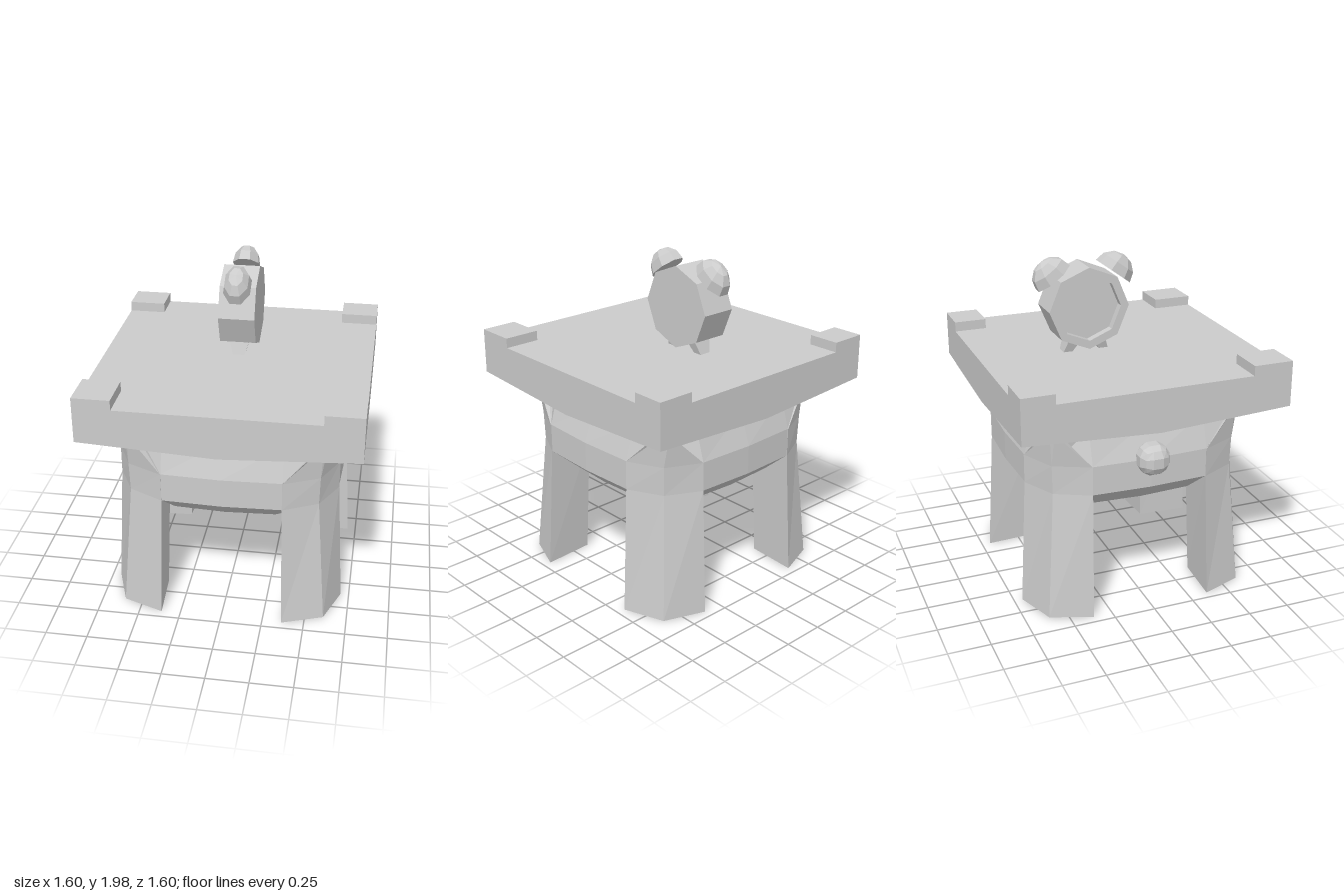
import * as THREE from 'three';

const material = new THREE.MeshStandardMaterial({ color: 0xcccccc, flatShading: true });

function add(parent, name, geometry) {
  const flat = geometry.index ? geometry.toNonIndexed() : geometry;
  flat.computeVertexNormals();
  const mesh = new THREE.Mesh(flat, material);
  mesh.name = name;
  parent.add(mesh);
  return mesh;
}

// Skin closed rings listed bottom to top, each counter-clockwise seen from below (x towards z)
function loft(rings) {
  const n = rings[0].length, points = rings.flat(), index = [];
  for (let r = 0; r < rings.length - 1; r++) {
    for (let i = 0; i < n; i++) {
      const a = r * n + i, b = r * n + (i + 1) % n;
      index.push(a, a + n, b, b, a + n, b + n);
    }
  }
  const last = (rings.length - 1) * n;
  for (let i = 1; i < n - 1; i++) {
    index.push(0, i, i + 1, last, last + i + 1, last + i);
  }
  const g = new THREE.BufferGeometry();
  g.setAttribute('position', new THREE.Float32BufferAttribute(points.flat(), 3));
  g.setIndex(index);
  return g;
}

// Bulging square ring: mid = side middle, side = near the legs, corner = diagonal
function squareRing(y, mid, side, corner, w, sag = 0) {
  const ring = [];
  for (let q = 0; q < 4; q++) {
    const c = Math.round(Math.cos(q * Math.PI / 2)), s = Math.round(Math.sin(q * Math.PI / 2));
    for (const [x, z, dy] of [[mid, 0, -sag], [side, w, 0], [corner, corner, 0], [w, side, 0]]) {
      ring.push([x * c - z * s, y + dy, x * s + z * c]);
    }
  }
  return ring;
}

// Kite-shaped leg section pointing along the +x+z diagonal
const legRing = (y, out, near, ridge, inner) =>
  [[inner, y, inner], [out, y, near], [ridge, y, ridge], [near, y, out]];

function octagon(radius, Type = THREE.Shape) {
  const shape = new Type();
  for (let i = 0; i < 8; i++) {
    const a = i * Math.PI / 4;
    shape[i ? 'lineTo' : 'moveTo'](radius * Math.cos(a), radius * Math.sin(a));
  }
  shape.closePath();
  return shape;
}

function createClock() {
  const clock = new THREE.Group();
  clock.name = 'alarmClock';
  clock.position.set(0, 1.685, -0.16);

  // Case with a recessed dial on the -x side
  const slab = (shape, depth, x) => new THREE.ExtrudeGeometry(shape, { depth, bevelEnabled: false })
    .rotateY(-Math.PI / 2).translate(x, 0, 0);
  add(clock, 'clockCase', slab(octagon(0.245), 0.167, 0.107));
  const rim = octagon(0.245);
  rim.holes.push(octagon(0.195, THREE.Path));
  add(clock, 'clockRim', slab(rim, 0.047, -0.06));

  for (const side of [1, -1]) {
    // Bell: narrow faceted dome with a flat underside
    const bell = new THREE.Group();
    bell.name = 'bell';
    bell.position.set(0, 0.18, side * 0.186);
    bell.rotation.x = side * 0.635;
    clock.add(bell);
    const dome = new THREE.SphereGeometry(0.125, 8, 3, Math.PI / 8, Math.PI * 2, 0, Math.PI / 2);
    add(bell, 'bellDome', dome.scale(0.68, 0.95, 1.02));
    const base = new THREE.CircleGeometry(0.125, 8, Math.PI / 8);
    add(bell, 'bellBase', base.rotateX(Math.PI / 2).scale(0.68, 1, 1.02));

    // Foot: tapered and splayed
    const foot = (y, w, z0, z1) => {
      const [a, b] = side > 0 ? [z0, z1] : [-z1, -z0];
      return [[-w, y, a], [w, y, a], [w, y, b], [-w, y, b]];
    };
    add(clock, 'clockFoot', loft([foot(-0.275, 0.035, 0.085, 0.14), foot(-0.19, 0.06, 0.03, 0.11)]));
  }
  return clock;
}

export function createModel() {
  const model = new THREE.Group();
  model.name = 'bedsideTable';

  // Table top: flat above, underside sagging towards the middle
  const top = new THREE.BoxGeometry(1.6, 0.2, 1.6, 2, 1, 2);
  const p = top.attributes.position;
  for (let i = 0; i < p.count; i++) {
    const sag = 1.115 + 0.0425 * (Math.abs(p.getX(i)) + Math.abs(p.getZ(i))) / 0.8;
    p.setY(i, p.getY(i) > 0 ? 1.413 : sag);
  }
  add(model, 'tableTop', top);

  // Raised corner blocks, deeper at the front
  for (const sx of [1, -1]) {
    for (const [sz, d] of [[1, 0.24], [-1, 0.195]]) {
      const block = add(model, 'cornerBlock', new THREE.BoxGeometry(0.22, 0.075, d));
      block.position.set(sx * 0.69, 1.4345, sz * (0.8 - d / 2));
    }
  }

  // Rounded body
  add(model, 'body', loft([
    squareRing(0.58, 0.02, 0.02, 0.02, 0.01),
    squareRing(0.6, 0.36, 0.35, 0.3, 0.18),
    squareRing(0.65, 0.53, 0.52, 0.44, 0.3, 0.005),
    squareRing(0.77, 0.67, 0.655, 0.54, 0.35),
    squareRing(0.945, 0.67, 0.655, 0.54, 0.35),
    squareRing(1.15, 0.6, 0.595, 0.565, 0.35),
  ]));

  // Four legs with pointed tops
  for (let i = 0; i < 4; i++) {
    const leg = add(model, 'leg', loft([
      legRing(0, 0.7, 0.365, 0.61, 0.385),
      legRing(0.77, 0.658, 0.35, 0.555, 0.36),
      legRing(0.945, 0.658, 0.352, 0.56, 0.37),
      legRing(1.15, 0.595, 0.55, 0.572, 0.53),
    ]));
    leg.rotation.y = i * Math.PI / 2;
  }

  // Drawer knob: rounded cube on the -x side
  const ball = new THREE.BoxGeometry(2, 2, 2, 3, 3, 3);
  const b = ball.attributes.position, v = new THREE.Vector3();
  for (let i = 0; i < b.count; i++) {
    v.fromBufferAttribute(b, i).normalize().multiplyScalar(0.1);
    b.setXYZ(i, v.x, v.y, v.z);
  }
  add(model, 'knob', ball).position.set(-0.683, 0.955, 0);

  model.add(createClock());
  return model;
}
